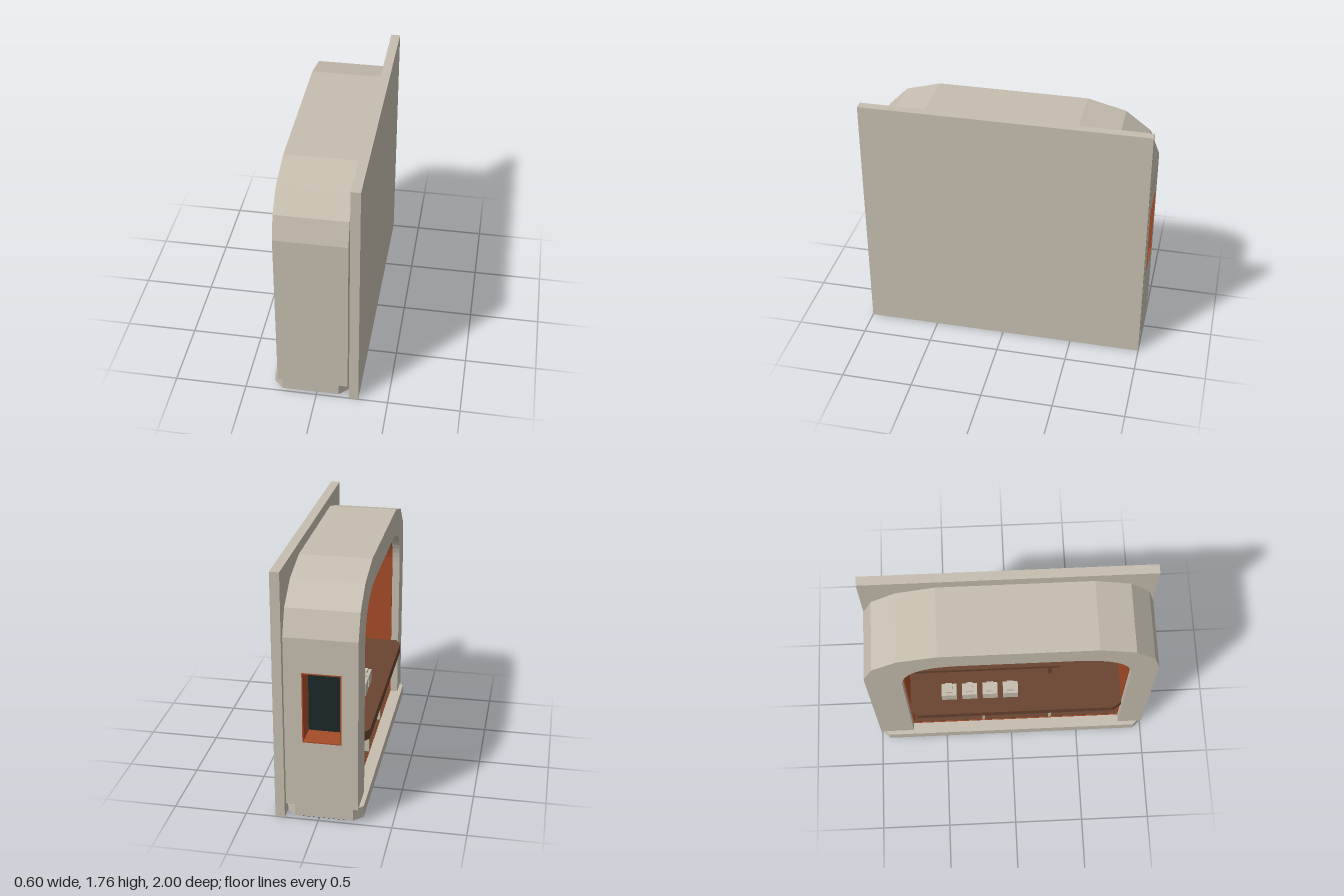
import * as THREE from 'three';

const mat = (name, color) => {
  const m = new THREE.MeshStandardMaterial({ color });
  m.name = name;
  return m;
};

export function createModel() {
  const root = new THREE.Group();
  root.name = 'servingKiosk';
  const chalk = mat('chalk', 0xc6beaf);
  const rust = mat('rust', 0xa64c29);
  const wood = mat('wood', 0x6a4430);
  const dark = mat('dark', 0x1b2828);

  const add = (name, geo, material) => {
    const mesh = new THREE.Mesh(geo, material);
    mesh.name = name;
    root.add(mesh);
    return mesh;
  };
  // box from its min and max on each axis
  const box = (name, m, x0, x1, y0, y1, z0, z1) => {
    const g = new THREE.BoxGeometry(x1 - x0, y1 - y0, z1 - z0);
    g.translate((x0 + x1) / 2, (y0 + y1) / 2, (z0 + z1) / 2);
    return add(name, g, m);
  };
  // (z, y) outline extruded along x
  const slab = (name, m, shape, x0, x1) => {
    const g = new THREE.ExtrudeGeometry(shape, { depth: x1 - x0, bevelEnabled: false, curveSegments: 14 });
    g.rotateY(-Math.PI / 2);
    g.translate(x1, 0, 0);
    return add(name, g, m);
  };
  // (x, z) outline extruded upwards
  const plan = (name, m, pts, y0, y1) => {
    const shape = new THREE.Shape(pts.map(([x, z]) => new THREE.Vector2(x, -z)));
    const g = new THREE.ExtrudeGeometry(shape, { depth: y1 - y0, bevelEnabled: false });
    g.rotateX(-Math.PI / 2);
    g.translate(0, y0, 0);
    return add(name, g, m);
  };
  const octagon = (x0, x1, z, c) => [
    [x0 + c, -z], [x1 - c, -z], [x1, -z + c], [x1, z - c],
    [x1 - c, z], [x0 + c, z], [x0, z - c], [x0, -z + c],
  ];

  const Y0 = 0.11, ZL = -0.75, ZR = 0.82, BACK = 0.17;
  const win = { x0: -0.16, x1: 0.1, y0: 0.59, y1: 1.09, z: -0.83 };

  // arched serving opening, inset by i, traced from the +z foot to the -z foot
  const traceOpening = (p, i) => {
    const top = 1.52 - i, r = ZR - i, l = ZL + i;
    p.lineTo(r, 1.2);
    p.bezierCurveTo(r, 1.42, 0.68, top, 0.42, top);
    p.lineTo(-0.35, top);
    p.bezierCurveTo(-0.6, top, l, 1.4, l, 1.18);
    p.lineTo(l, Y0 + i);
  };
  const openingPath = (Type, i) => {
    const p = new Type();
    p.moveTo(ZR - i, Y0 + i);
    traceOpening(p, i);
    p.closePath();
    return p;
  };
  // faceted outer arch, either solid or open, optionally notched for the window
  const bodyShape = (open, notch) => {
    const s = new THREE.Shape();
    s.moveTo(-1, Y0);
    if (notch) [[-1, win.y0], [win.z, win.y0], [win.z, win.y1], [-1, win.y1]].forEach((p) => s.lineTo(...p));
    [[-1, 1.33], [-0.93, 1.505], [-0.755, 1.637], [-0.485, 1.705],
      [0.575, 1.705], [0.82, 1.637], [0.955, 1.5], [1, 1.33], [1, Y0]].forEach((p) => s.lineTo(...p));
    if (open) {
      s.lineTo(ZR, Y0);
      traceOpening(s, 0);
    }
    s.closePath();
    return s;
  };

  // body shell
  slab('bodyFrontFrame', chalk, bodyShape(true, false), -0.27, win.x0);
  slab('bodyWindowSection', chalk, bodyShape(true, true), win.x0, win.x1);
  slab('bodyRearSection', chalk, bodyShape(true, false), win.x1, BACK);
  slab('bodyBack', chalk, bodyShape(false, false), BACK, 0.22);

  // base and plinth
  plan('base', chalk, octagon(-0.3, 0.22, 1, 0.062), 0.027, Y0);
  plan('plinth', dark, octagon(-0.24, 0.19, 0.96, 0.06), 0, 0.027);

  // interior lining, floor and back wall
  const lining = openingPath(THREE.Shape, 0);
  lining.holes.push(openingPath(THREE.Path, 0.009));
  slab('interiorLining', rust, lining, -0.215, BACK);
  slab('interiorBackWall', dark, openingPath(THREE.Shape, 0.004), BACK - 0.008, BACK);
  box('interiorFloor', wood, -0.21, BACK, Y0, 0.125, ZL + 0.01, ZR - 0.01);

  // side window niche with lining and pane
  const t = 0.008, e = -1.003;
  box('windowPane', dark, win.x0, win.x1, win.y0, win.y1, win.z - t, win.z);
  box('windowSill', rust, win.x0, win.x1, win.y0, win.y0 + t, e, win.z);
  box('windowHead', rust, win.x0, win.x1, win.y1 - t, win.y1, e, win.z);
  box('windowJamb', rust, win.x0, win.x0 + t, win.y0, win.y1, e, win.z);
  box('windowJamb', rust, win.x1 - t, win.x1, win.y0, win.y1, e, win.z);

  // counter with clipped front corners
  plan('counter', wood, [
    [BACK, ZL + 0.01], [-0.26, ZL + 0.01], [-0.297, -0.69],
    [-0.297, 0.75], [-0.26, ZR - 0.01], [BACK, ZR - 0.01],
  ], 0.49, 0.56);

  // dividers under the counter
  for (const z of [-0.22, 0.285]) box('underCounterDivider', chalk, -0.215, BACK, 0.125, 0.49, z, z + 0.02);

  // shelving
  box('shelfUpright', wood, -0.015, BACK, 0.56, 1.515, 0.285, 0.31);
  box('lowerShelf', wood, -0.05, BACK, 0.785, 0.825, ZL + 0.005, 0.36);
  box('upperShelf', wood, -0.05, BACK, 1.065, 1.105, 0.285, ZR - 0.005);

  // row of containers on the counter
  for (let i = 0; i < 4; i++) {
    const z = -0.507 + i * 0.15;
    box('container', chalk, -0.185, -0.095, 0.56, 0.655, z, z + 0.11);
    box('containerLid', chalk, -0.165, -0.095, 0.655, 0.675, z + 0.03, z + 0.08);
  }

  // large panel held off the body by two brackets
  box('sidePanel', chalk, 0.23, 0.295, 0, 1.765, -1, 1);
  for (const z of [-0.885, 0.895]) box('panelBracket', wood, 0.215, 0.235, 1.135, 1.19, z - 0.027, z + 0.027);

  return root;
}
